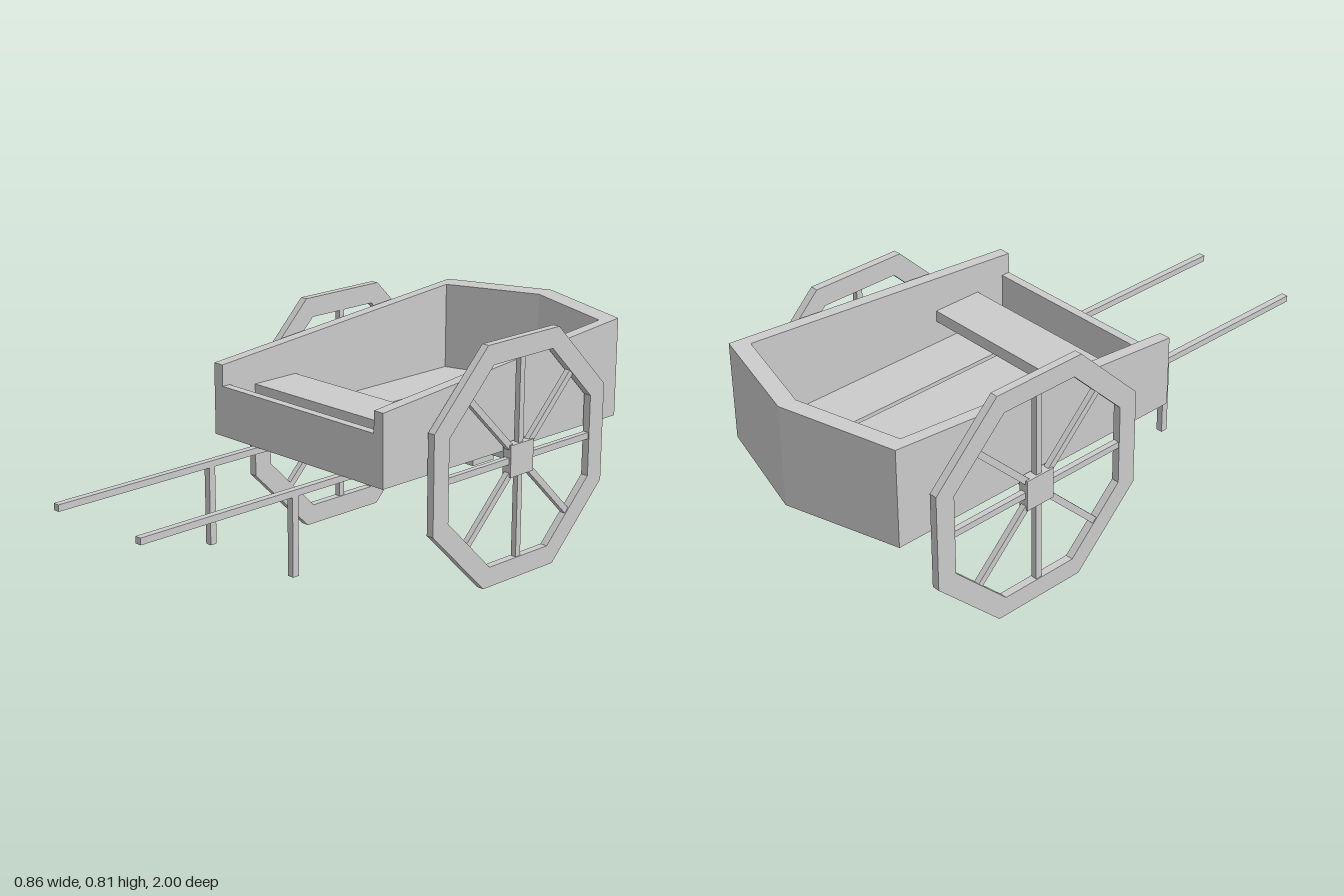
import * as THREE from 'three';

const material = new THREE.MeshStandardMaterial({ color: 0xcccccc, flatShading: true });

function add(parent, name, geometry) {
  const mesh = new THREE.Mesh(geometry, material);
  mesh.name = name;
  parent.add(mesh);
  return mesh;
}

// Box given by its limits on each axis
function box(parent, name, [x0, x1], [y0, y1], [z0, z1]) {
  const mesh = add(parent, name, new THREE.BoxGeometry(x1 - x0, y1 - y0, z1 - z0));
  mesh.position.set((x0 + x1) / 2, (y0 + y1) / 2, (z0 + z1) / 2);
  return mesh;
}

// Upright prism from a plan outline of [x, z] points
function prism(points, y0, y1) {
  const shape = new THREE.Shape(points.map(([x, z]) => new THREE.Vector2(x, -z)));
  const geometry = new THREE.ExtrudeGeometry(shape, { depth: y1 - y0, bevelEnabled: false });
  return geometry.rotateX(-Math.PI / 2).translate(0, y0, 0);
}

const FRONT = 0.212, BOTTOM = 0.43;
const AXLE_Y = 0.405, AXLE_Z = -0.376;

function createBody() {
  const body = new THREE.Group();
  body.name = 'body';

  // Side walls and pointed back, with the rim rising toward the back
  const walls = prism([
    [-0.388, FRONT], [-0.348, FRONT], [-0.348, -0.838], [0, -0.937], [0.348, -0.838],
    [0.348, FRONT], [0.388, FRONT], [0.388, -0.89], [0, -1], [-0.388, -0.89],
  ], BOTTOM, 0.7);
  const p = walls.attributes.position;
  for (let i = 0; i < p.count; i++) {
    if (p.getY(i) > 0.5) p.setY(i, 0.672 + (FRONT - p.getZ(i)) * 0.0868);
  }
  walls.computeVertexNormals();
  add(body, 'walls', walls);

  box(body, 'frontBoard', [-0.348, 0.348], [BOTTOM, 0.6], [0.182, FRONT]);
  box(body, 'seat', [-0.348, 0.348], [0.54, 0.58], [-0.108, 0.072]);

  // Floor base with three planks on top
  const back = (x) => -0.937 + Math.abs(x) * 0.2845;
  add(body, 'floor', prism([
    [-0.348, 0.182], [0.348, 0.182], [0.348, back(0.348)], [0, back(0)], [-0.348, back(0.348)],
  ], BOTTOM, 0.445));
  add(body, 'middlePlank', prism([
    [-0.155, 0.182], [0.155, 0.182], [0.155, back(0.155)], [0, back(0)], [-0.155, back(0.155)],
  ], 0.445, 0.46));
  for (const s of [-1, 1]) {
    const outline = [[s * 0.17, 0.182], [s * 0.348, 0.182], [s * 0.348, back(0.348)], [s * 0.17, back(0.17)]];
    add(body, 'sidePlank', prism(outline, 0.445, 0.46));
  }
  return body;
}

function octagon(PathType, apothem) {
  const r = apothem / Math.cos(Math.PI / 8);
  const points = [];
  for (let i = 0; i < 8; i++) {
    const a = (i + 0.5) * Math.PI / 4;
    points.push(new THREE.Vector2(r * Math.cos(a), r * Math.sin(a)));
  }
  return new PathType(points);
}

function createWheel(side) {
  const wheel = new THREE.Group();
  wheel.name = side > 0 ? 'leftWheel' : 'rightWheel';

  // Eight-sided rim
  const rim = octagon(THREE.Shape, 0.405);
  rim.holes.push(octagon(THREE.Path, 0.337));
  const geometry = new THREE.ExtrudeGeometry(rim, { depth: 0.027, bevelEnabled: false });
  add(wheel, 'rim', geometry.translate(0, 0, -0.0135).rotateY(Math.PI / 2));

  // Spokes run from the hub to the middle of each rim segment
  for (let i = 0; i < 8; i++) {
    const spoke = new THREE.BoxGeometry(0.02, 0.3, 0.022).translate(0, 0.19, 0);
    add(wheel, 'spoke', spoke).rotation.x = i * Math.PI / 4;
  }
  add(wheel, 'hub', new THREE.BoxGeometry(0.034, 0.108, 0.108));

  wheel.position.set(side * 0.413, AXLE_Y, AXLE_Z);
  return wheel;
}

export function createModel() {
  const cart = new THREE.Group();
  cart.name = 'handcart';
  cart.add(createBody());

  // Undercarriage
  box(cart, 'underPlate', [-0.263, 0.263], [0.385, BOTTOM], [-0.622, -0.11]);
  box(cart, 'axleBlock', [-0.263, 0.263], [0.35, 0.385], [AXLE_Z - 0.05, AXLE_Z + 0.05]);
  box(cart, 'axle', [-0.41, 0.41], [0.393, 0.421], [AXLE_Z - 0.018, AXLE_Z + 0.018]);

  // Mirrored wheels, pull shafts and support legs
  for (const side of [-1, 1]) {
    cart.add(createWheel(side));
    const x = [side * 0.194 - 0.0115, side * 0.194 + 0.0115];
    box(cart, 'shaft', x, [0.408, BOTTOM], [-0.11, 1]);
    box(cart, 'leg', x, [0.148, 0.408], [0.391, 0.415]);
  }
  return cart;
}
